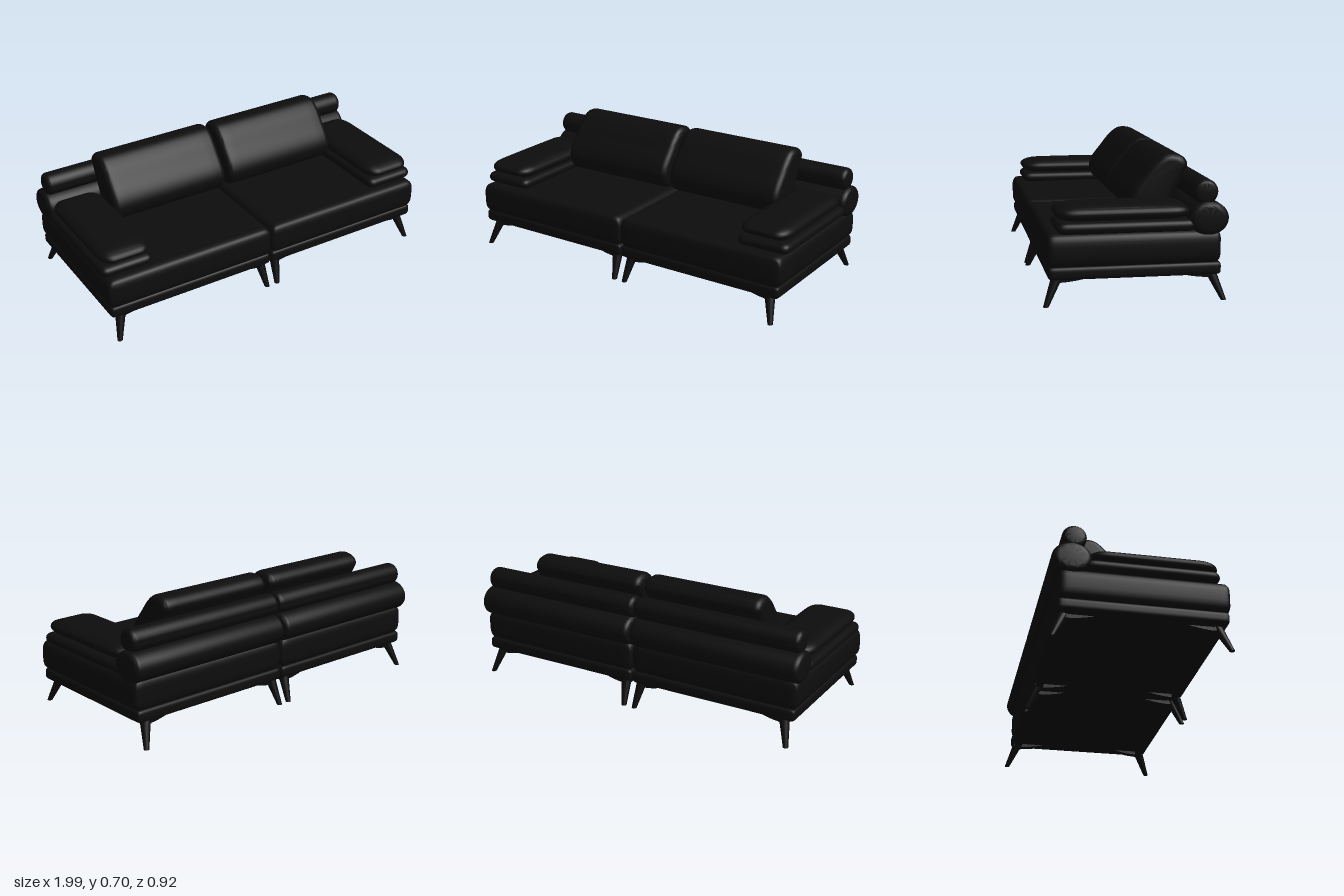
import * as THREE from 'three';
import { mergeVertices, toCreasedNormals } from 'three/addons/utils/BufferGeometryUtils.js';

const fabric = new THREE.MeshStandardMaterial({ color: 0x0d0d0d });
fabric.name = 'black upholstery';
const legPaint = new THREE.MeshStandardMaterial({ color: 0x0c0c0c });
legPaint.name = 'black leg finish';

// Share vertices so the surface shades smoothly
function smooth(geo) {
  geo.deleteAttribute('uv');
  geo.deleteAttribute('normal');
  const merged = mergeVertices(geo, 1e-4);
  merged.computeVertexNormals();
  return merged;
}

// Upholstered block: ellipsoidal edges (rx, ry, rz), crowned faces, optional extra rule
function cushion([w, h, d], [rx, ry, rz], crown = 0, rule = null) {
  const geo = new THREE.BoxGeometry(2, 2, 2, 28, 12, 28);
  const pos = geo.attributes.position;
  const half = new THREE.Vector3(w / 2, h / 2, d / 2);
  const rad = new THREE.Vector3(rx, ry, rz);
  const p = new THREE.Vector3(), core = new THREE.Vector3();
  const lim = half.clone().sub(rad);
  for (let i = 0; i < pos.count; i++) {
    p.fromBufferAttribute(pos, i);
    // cluster the grid towards the rounded edges
    p.set(Math.sin(p.x * Math.PI / 2), Math.sin(p.y * Math.PI / 2), Math.sin(p.z * Math.PI / 2));
    const u = p.x, v = p.z;
    p.multiply(half);
    core.copy(p).clamp(lim.clone().negate(), lim);
    p.sub(core).divide(rad).normalize().multiply(rad).add(core);
    p.y += Math.sign(p.y) * crown * (1 - u * u) * (1 - v * v);
    if (rule) rule(p, u, v);
    pos.setXYZ(i, p.x, p.y, p.z);
  }
  return smooth(geo);
}

// Horizontal roll along x with softly rounded ends
function roll(length, ry, rz) {
  const e = 0.028, pts = [new THREE.Vector2(0, -length / 2)];
  for (let i = 0; i <= 6; i++) {
    const a = i / 6 * Math.PI / 2;
    pts.push(new THREE.Vector2(1 - 0.35 * (1 - Math.sin(a)), -length / 2 + e * (1 - Math.cos(a))));
  }
  for (const q of pts.slice().reverse()) pts.push(new THREE.Vector2(q.x, -q.y));
  const geo = new THREE.LatheGeometry(pts, 40);
  geo.rotateZ(Math.PI / 2);
  geo.scale(1, ry, rz);
  return toCreasedNormals(geo, 0.9);
}

// Leaning back cushion: side outline (z, y) drawn across the width
function backCushion(width) {
  const outline = [[-0.015, 0.455], [-0.03, 0.515], [-0.09, 0.595], [-0.145, 0.662], [-0.195, 0.699],
    [-0.245, 0.704], [-0.295, 0.687], [-0.316, 0.65], [-0.295, 0.605], [-0.235, 0.485],
    [-0.195, 0.405], [-0.13, 0.375], [-0.05, 0.39]].map(([z, y]) => new THREE.Vector3(z, y, 0));
  const curve = new THREE.CatmullRomCurve3(outline, true);
  const shape = new THREE.Shape(curve.getPoints(52).slice(0, -1).map(q => new THREE.Vector2(q.x, q.y)));
  const b = 0.035;
  const geo = new THREE.ExtrudeGeometry(shape, {
    depth: width - 2 * b, steps: 12, bevelEnabled: true, bevelThickness: b, bevelSize: b, bevelOffset: -b, bevelSegments: 6,
  });
  geo.translate(0, 0, -(width - 2 * b) / 2);
  geo.rotateY(-Math.PI / 2);
  return toCreasedNormals(geo, 0.9);
}

// Round leg, tapered and sheared outwards so the foot stays level
function leg(dx, dz) {
  const h = 0.14;
  const geo = new THREE.CylinderGeometry(0.029, 0.014, h, 20, 4);
  const pos = geo.attributes.position;
  for (let i = 0; i < pos.count; i++) {
    const t = 0.5 - pos.getY(i) / h;
    pos.setX(i, pos.getX(i) + dx * t);
    pos.setZ(i, pos.getZ(i) + dz * t);
  }
  geo.computeVertexNormals();
  geo.translate(0, h / 2, 0);
  return geo;
}

// Tapering bracket under the frame, reaching along +x
function bracket(reach) {
  const s = new THREE.Shape();
  s.moveTo(-0.025, 0.14);
  s.lineTo(-0.025, 0.113);
  s.lineTo(0.03, 0.114);
  s.quadraticCurveTo(reach * 0.6, 0.118, reach, 0.136);
  s.lineTo(reach, 0.14);
  const geo = new THREE.ExtrudeGeometry(s, { depth: 0.04, bevelEnabled: false });
  geo.translate(0, 0, -0.02);
  return geo;
}

export function createModel() {
  const model = new THREE.Group();
  model.name = 'sofa';
  const add = (name, geo, x, y, z, mat = fabric) => {
    const m = new THREE.Mesh(geo, mat);
    m.name = name;
    m.position.set(x, y, z);
    model.add(m);
    return m;
  };

  // Geometry shared by both halves
  const frame = cushion([0.974, 0.068, 0.862], [0.025, 0.022, 0.02]);
  const seat = cushion([0.98, 0.172, 0.87], [0.04, 0.05, 0.035], 0.004, (p, u, v) => {
    // bulging outer sides and faint leather folds on top
    const belly = 1 - Math.pow(p.y / 0.086, 2);
    p.x += Math.sign(p.x) * 0.006 * belly * (Math.abs(u) > 0.95 ? 1 : 0);
    if (p.y > 0.06) p.y += 0.003 * Math.sin(9 * u + 5 * v) * (1 - u * u) * (1 - v * v);
  });
  const lowerPad = cushion([0.298, 0.062, 0.69], [0.04, 0.03, 0.045]);
  const upperPad = cushion([0.285, 0.074, 0.67], [0.07, 0.036, 0.1], 0.007);
  const lowerRoll = roll(0.994, 0.084, 0.1);
  const upperRoll = roll(0.974, 0.062, 0.063);
  const pillow = backCushion(0.7);

  for (const side of [1, -1]) {
    const end = side > 0 ? 'left' : 'right';
    add(end + 'Frame', frame, side * 0.49, 0.168, 0.005);
    add(end + 'Seat', seat, side * 0.494, 0.278, 0.01);
    add(end + 'LowerArmPad', lowerPad, side * 0.848, 0.389, 0.05);
    add(end + 'UpperArmPad', upperPad, side * 0.842, 0.454, 0.06);
    add(end + 'LowerBackRoll', lowerRoll, side * 0.5, 0.42, -0.358);
    add(end + 'UpperBackRoll', upperRoll, side * 0.49, 0.549, -0.344);
    add(end + 'BackCushion', pillow, side * 0.362, 0, 0);

    // Legs at every corner of each half
    for (const front of [1, -1]) {
      const z = front * 0.385, where = end + (front > 0 ? 'Front' : 'Rear');
      add(where + 'OuterLeg', leg(side * 0.04, front * 0.06), side * 0.905, 0, z, legPaint);
      add(where + 'InnerLeg', leg(side * -0.017, front * 0.06), side * 0.05, 0, z, legPaint);
      for (const [x, inward] of [[0.905, -1], [0.05, 1]]) {
        const along = add(where + 'CrossBracket', bracket(0.13), side * x, 0, z, legPaint);
        along.rotation.y = side * inward > 0 ? 0 : Math.PI;
        const deep = add(where + 'DepthBracket', bracket(0.16), side * x, 0, z, legPaint);
        deep.rotation.y = front * Math.PI / 2;
      }
    }
  }
  return model;
}
